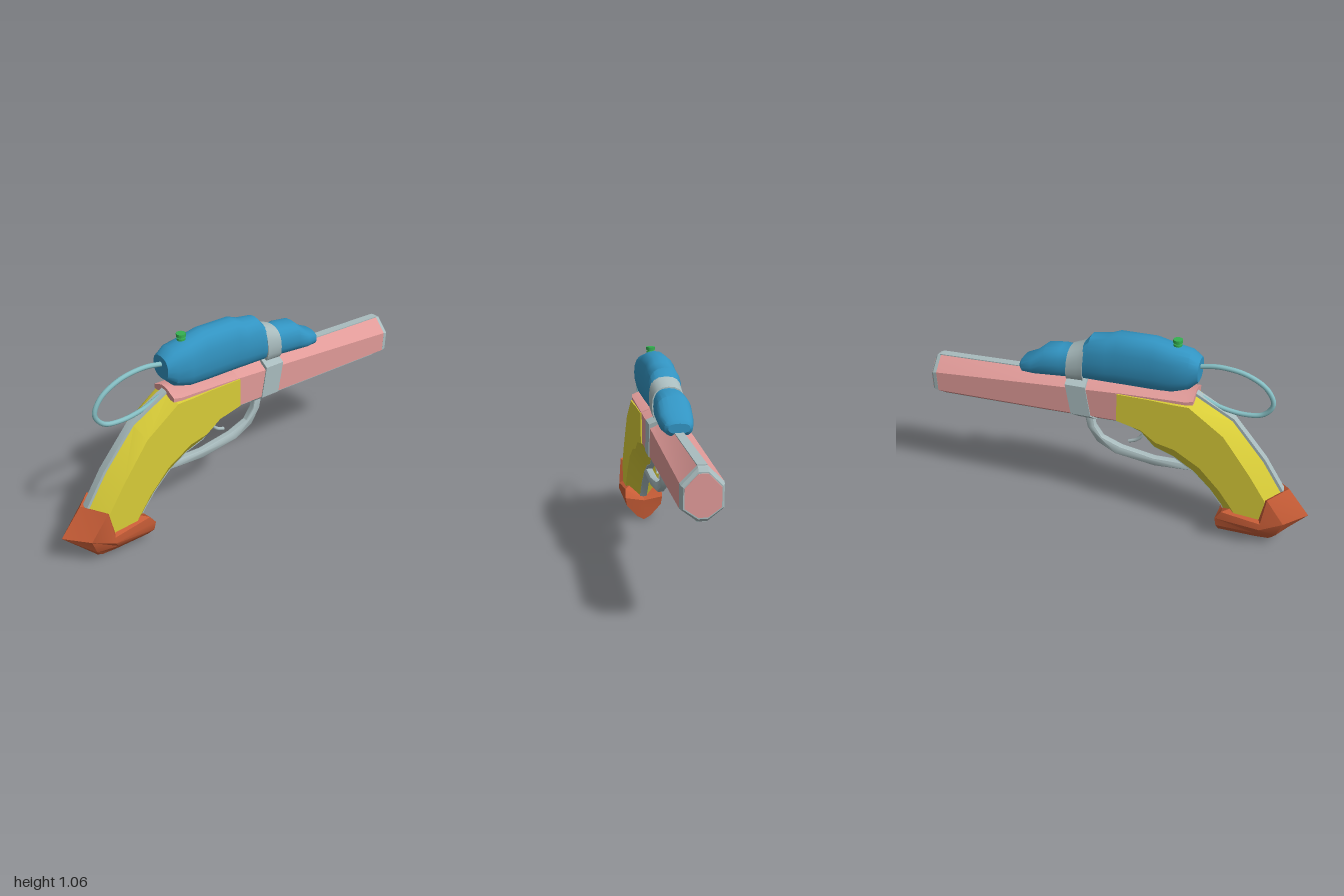
import * as THREE from 'three';
import { toCreasedNormals } from 'three/addons/utils/BufferGeometryUtils.js';

const PINK = 0xe09a98, YELLOW = 0xd8cc38, BLUE = 0x3294c2, ORANGE = 0xc65c36;
const GREY = 0xa9bcbe, TEAL = 0x86bfc4, GREEN = 0x35b050;

function mesh(name, geometry, color) {
  const m = new THREE.Mesh(geometry, new THREE.MeshStandardMaterial({ color, side: THREE.DoubleSide }));
  m.name = name;
  return m;
}

// Skin a list of equal-length rings of [x, y, z] and close both ends
function loft(rings, crease = 0.5) {
  const pos = [], n = rings[0].length;
  const tri = (a, b, c) => pos.push(...a, ...b, ...c);
  for (let i = 0; i < rings.length - 1; i++) {
    for (let j = 0; j < n; j++) {
      const k = (j + 1) % n, a = rings[i], b = rings[i + 1];
      tri(a[j], a[k], b[k]);
      tri(a[j], b[k], b[j]);
    }
  }
  const cap = (r, flip) => {
    const c = [0, 1, 2].map(q => r.reduce((s, p) => s + p[q], 0) / n);
    r.forEach((p, j) => (flip ? tri(c, r[(j + 1) % n], p) : tri(c, p, r[(j + 1) % n])));
  };
  cap(rings[0], true);
  cap(rings[rings.length - 1], false);
  // Turn the faces outward if the enclosed volume is negative
  let vol = 0;
  for (let i = 0; i < pos.length; i += 9) {
    const [a, b, c] = [0, 3, 6].map(o => new THREE.Vector3(...pos.slice(i + o, i + o + 3)));
    vol += a.dot(b.cross(c));
  }
  if (vol < 0) {
    for (let i = 0; i < pos.length; i += 9) {
      for (let q = 0; q < 3; q++) [pos[i + 3 + q], pos[i + 6 + q]] = [pos[i + 6 + q], pos[i + 3 + q]];
    }
  }
  const g = new THREE.BufferGeometry();
  g.setAttribute('position', new THREE.Float32BufferAttribute(pos, 3));
  return toCreasedNormals(g, crease);
}

// Half outline of [x, y, z] points mirrored across z = 0 into a ring
const mirrorRing = half => [...half, ...half.filter(p => p[2] > 0).reverse().map(([x, y, z]) => [x, y, -z])];

// Chamfered section between a back point b and a front point f
function chamfered(b, f, w, t1, t2, edge = 0.02) {
  const at = t => [b[0] + (f[0] - b[0]) * t, b[1] + (f[1] - b[1]) * t];
  return mirrorRing([[...b, edge], [...at(t1), w], [...at(t2), w], [...f, edge]]);
}

// Barrel section at x, with top, upper corner, lower corner and bottom heights
const barrelRing = (x, [top, hi, lo, bot], w) =>
  mirrorRing([[x, top, 0.02], [x, hi, w], [x, lo, w], [x, bot, 0.02]]);

// Rounded tank section
function tankRing(x, bot, top, w) {
  const ring = [], p = 0.8;
  for (let i = 0; i < 20; i++) {
    const a = (i / 20) * Math.PI * 2, c = Math.cos(a), s = Math.sin(a);
    ring.push([x, (top + bot) / 2 + (top - bot) / 2 * Math.sign(s) * Math.abs(s) ** p,
      w * Math.sign(c) * Math.abs(c) ** p]);
  }
  return ring;
}

function tube(points, radius, segments) {
  const curve = new THREE.CatmullRomCurve3(points.map(([x, y]) => new THREE.Vector3(x, y, 0)));
  return new THREE.TubeGeometry(curve, segments, radius, 10, false);
}

export function createModel() {
  const model = new THREE.Group();
  model.name = 'toyWaterPistol';
  const add = (name, geometry, color) => model.add(mesh(name, geometry, color));

  // Barrel, muzzle rim and muzzle face
  add('barrel', loft([
    barrelRing(-0.04, [0.795, 0.765, 0.61, 0.56], 0.089),
    barrelRing(0.4, [0.787, 0.74, 0.605, 0.552], 0.09),
    barrelRing(0.965, [0.774, 0.705, 0.6, 0.546], 0.09),
  ]), PINK);
  add('muzzleRim', loft([
    barrelRing(0.965, [0.775, 0.705, 0.6, 0.545], 0.0905),
    barrelRing(0.985, [0.771, 0.7, 0.602, 0.549], 0.088),
    barrelRing(0.996, [0.755, 0.695, 0.605, 0.562], 0.08),
  ], 0.3), GREY);
  add('muzzleFace', loft([
    barrelRing(0.98, [0.75, 0.693, 0.607, 0.567], 0.077),
    barrelRing(1, [0.748, 0.691, 0.609, 0.569], 0.075),
  ]), PINK);

  // Pink deck between grip and tank
  add('deck', loft([
    barrelRing(-0.4, [0.812, 0.785, 0.765, 0.76], 0.085),
    barrelRing(-0.36, [0.805, 0.78, 0.764, 0.74], 0.092),
    barrelRing(-0.03, [0.797, 0.768, 0.764, 0.74], 0.092),
  ]), PINK);

  // Grip, as pairs of back and front points from the frame to the butt
  const spine = [
    [[-0.025, 0.768], [-0.02, 0.56], 0.03],
    [[-0.2, 0.768], [-0.13, 0.52], 0.03],
    [[-0.3, 0.768], [-0.2, 0.445], 0.04],
    [[-0.39, 0.785], [-0.3, 0.41], 0.08],
    [[-0.585, 0.675], [-0.41, 0.34], 0.15],
    [[-0.75, 0.475], [-0.5, 0.25], 0.2],
    [[-0.86, 0.3], [-0.565, 0.165], 0.2],
    [[-0.9, 0.22], [-0.6, 0.1], 0.2],
  ];
  add('grip', loft(spine.map(([b, f, t]) => chamfered(b, f, 0.095, t, 0.76)), 0.6), YELLOW);

  // Grey seam running along the edges of grip and barrel
  const seamRing = ([b, f]) => {
    const d = new THREE.Vector2(b[0] - f[0], b[1] - f[1]).normalize();
    const B = [b[0] + d.x * 0.014, b[1] + d.y * 0.014], F = [f[0] - d.x * 0.006, f[1] - d.y * 0.006];
    return mirrorRing([[...B, 0.02], [...F, 0.02]]);
  };
  add('gripSeam', loft(spine.map(seamRing)), GREY);
  add('barrelSeam', loft([[-0.04, 0.799, 0.555], [0.4, 0.791, 0.548], [0.97, 0.778, 0.542]]
    .map(([x, t, b]) => mirrorRing([[x, t, 0.021], [x, b, 0.021]]))), GREY);

  // Faceted butt cap
  add('buttCap', loft([
    [[-0.89, 0.33, 0], [-0.8, 0.31, 0.105], [-0.78, 0.165, 0.117], [-0.58, 0.185, 0.106], [-0.57, 0.135, 0]],
    [[-1, 0.19, 0], [-0.89, 0.17, 0.09], [-0.78, 0.13, 0.119], [-0.55, 0.14, 0.108], [-0.552, 0.12, 0]],
    [[-0.91, 0.09, 0], [-0.86, 0.08, 0.07], [-0.76, 0.09, 0.1], [-0.557, 0.09, 0.1], [-0.555, 0.08, 0]],
    [[-0.83, 0, 0], [-0.82, 0.022, 0.035], [-0.75, 0.022, 0.04], [-0.56, 0.022, 0.04], [-0.56, 0, 0]],
  ].map(mirrorRing), 0.35), ORANGE);

  // Water tank: x, bottom, top, half width
  const tank = [
    [-0.41, 0.86, 0.975, 0.062], [-0.365, 0.815, 1.01, 0.078], [-0.28, 0.785, 1.028, 0.082],
    [-0.19, 0.78, 1.05, 0.083], [-0.01, 0.78, 1.05, 0.083], [0.04, 0.78, 1.03, 0.083],
    [0.13, 0.78, 1.017, 0.082], [0.175, 0.78, 0.965, 0.075], [0.23, 0.78, 0.938, 0.072],
    [0.28, 0.775, 0.94, 0.08], [0.365, 0.77, 0.928, 0.083], [0.43, 0.768, 0.873, 0.08],
    [0.49, 0.768, 0.847, 0.065], [0.503, 0.785, 0.83, 0.05],
  ];
  add('tank', loft(tank.map(s => tankRing(...s)), 0.6), BLUE);

  // Strap around tank and barrel
  add('tankStrap', loft([
    [0.155, 0.76, 0.99, 0.081], [0.185, 0.76, 0.968, 0.08], [0.24, 0.76, 0.945, 0.08],
  ].map(s => tankRing(...s).map(([x, y, z]) => [x + (0.9 - y) * 0.08, y, z])), 0.6), GREY);
  add('barrelStrap', loft([0.105, 0.21].map(x =>
    barrelRing(x, [0.803, 0.768, 0.605, 0.548], 0.094).map(([a, y, z]) => [a + (y - 0.55) * 0.16, y, z]))), GREY);

  // Trigger guard
  const guard = new THREE.Shape([
    [0.175, 0.57], [0.16, 0.49], [0.11, 0.41], [0.01, 0.355], [-0.2, 0.325], [-0.42, 0.34],
    [-0.38, 0.375], [-0.2, 0.37], [-0.02, 0.4], [0.08, 0.44], [0.12, 0.5], [0.13, 0.57],
  ].map(p => new THREE.Vector2(...p)));
  const guardGeometry = new THREE.ExtrudeGeometry(guard,
    { depth: 0.02, bevelThickness: 0.01, bevelSize: 0.008, bevelOffset: -0.008, bevelSegments: 2 });
  guardGeometry.translate(0, 0, -0.01);
  add('triggerGuard', toCreasedNormals(guardGeometry, 0.6), GREY);

  // Trigger
  add('trigger', tube([[-0.14, 0.54], [-0.13, 0.49], [-0.1, 0.455], [-0.06, 0.438]], 0.009, 14), GREY);

  // Hose looping from the tank to the grip
  add('hose', tube([[-0.39, 0.93], [-0.5, 0.945], [-0.63, 0.925], [-0.73, 0.865], [-0.765, 0.79],
    [-0.725, 0.73], [-0.64, 0.713], [-0.52, 0.73], [-0.42, 0.77]], 0.012, 60), TEAL);

  // Filler plug
  const plug = [[0, 1.0], [0.016, 1.0], [0.016, 1.025], [0.021, 1.025], [0.021, 1.035], [0.016, 1.036],
    [0.016, 1.042], [0.023, 1.042], [0.023, 1.057], [0, 1.057]].map(p => new THREE.Vector2(...p));
  const plugGeometry = toCreasedNormals(new THREE.LatheGeometry(plug, 20), 0.6);
  plugGeometry.translate(-0.295, 0, 0);
  add('fillerPlug', plugGeometry, GREEN);

  return model;
}
